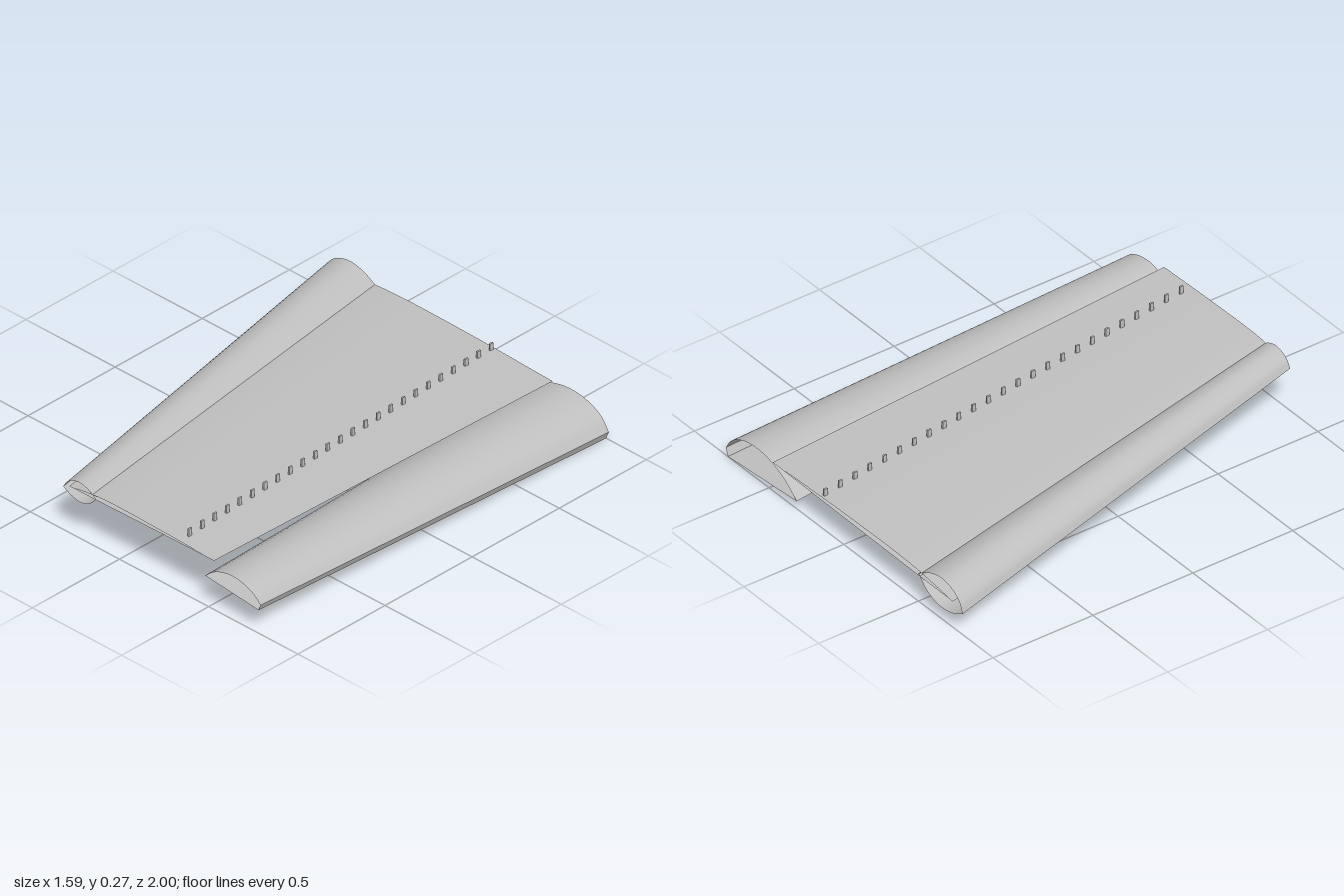
import * as THREE from 'three';

const grey = new THREE.MeshStandardMaterial({ color: 0xc0c0c0, side: THREE.DoubleSide });
grey.name = 'light grey';

// Skin stretched between a section at z = -1 and one at z = 1, given left to right
// for an upward face (reverse the order for a downward face).
function skin(name, back, front, smooth = true) {
  const sample = pts => {
    const v = pts.map(([x, y]) => new THREE.Vector3(x, y, 0));
    return smooth ? new THREE.CatmullRomCurve3(v, false, 'centripetal').getPoints(20) : v;
  };
  const a = sample(back), b = sample(front), n = a.length, pos = [], idx = [];
  a.forEach(p => pos.push(p.x, p.y, -1));
  b.forEach(p => pos.push(p.x, p.y, 1));
  for (let i = 0; i < n - 1; i++) {
    idx.push(i, n + i, n + i + 1, i, n + i + 1, i + 1);
  }
  const g = new THREE.BufferGeometry();
  g.setAttribute('position', new THREE.Float32BufferAttribute(pos, 3));
  g.setIndex(idx);
  g.computeVertexNormals();
  const mesh = new THREE.Mesh(g, grey);
  mesh.name = name;
  return mesh;
}

export function createModel() {
  const model = new THREE.Group();
  model.name = 'wingSection';

  // Swept nose slat: open lens that tapers towards the front
  const slat = new THREE.Group();
  slat.name = 'noseSlat';
  slat.add(
    skin('slatUpper',
      [[-0.795, 0.10], [-0.775, 0.145], [-0.73, 0.18], [-0.66, 0.197], [-0.58, 0.18], [-0.5, 0.135]],
      [[-0.315, 0.205], [-0.295, 0.235], [-0.265, 0.255], [-0.22, 0.265], [-0.175, 0.253], [-0.13, 0.225]]),
    skin('slatLower',
      [[-0.5, 0.135], [-0.56, 0.08], [-0.65, 0.055], [-0.73, 0.068], [-0.795, 0.10]],
      [[-0.13, 0.225], [-0.17, 0.187], [-0.22, 0.173], [-0.27, 0.183], [-0.315, 0.205]])
  );
  model.add(slat);

  // Thin main panel running from inside the slat to above the flap
  const panel = new THREE.Group();
  panel.name = 'mainPanel';
  panel.add(
    skin('panelTop',
      [[-0.73, 0.125], [-0.45, 0.152], [0, 0.152], [0.475, 0.137]],
      [[-0.28, 0.222], [-0.1, 0.244], [0.2, 0.243], [0.53, 0.233]]),
    skin('panelBottom',
      [[0.475, 0.137], [0, 0.131], [-0.45, 0.126], [-0.73, 0.125]],
      [[0.53, 0.233], [0.2, 0.229], [-0.1, 0.224], [-0.28, 0.222]])
  );
  model.add(panel);

  // Trailing flap: arched open shell with a flat underside and a narrow chamfer
  const flap = new THREE.Group();
  flap.name = 'flap';
  flap.add(
    skin('flapUpper',
      [[0.315, 0.036], [0.40, 0.098], [0.48, 0.132], [0.57, 0.147], [0.67, 0.134], [0.75, 0.092], [0.79, 0.036]],
      [[0.48, 0.14], [0.53, 0.178], [0.58, 0.198], [0.635, 0.206], [0.70, 0.196], [0.755, 0.171], [0.79, 0.138]]),
    skin('flapEdge', [[0.79, 0.036], [0.775, 0]], [[0.79, 0.138], [0.78, 0.11]], false),
    skin('flapUnderside', [[0.775, 0], [0.315, 0.036]], [[0.78, 0.11], [0.48, 0.14]], false)
  );
  model.add(flap);

  // Row of small upright vanes across the panel
  const vanes = new THREE.Group();
  vanes.name = 'vanes';
  const vaneShape = new THREE.BoxGeometry(0.008, 0.036, 0.018);
  const count = 25;
  for (let i = 0; i < count; i++) {
    const t = i / (count - 1);
    const vane = new THREE.Mesh(vaneShape, grey);
    vane.name = 'vane';
    vane.position.set(0.15 + 0.185 * t, 0.163 + 0.092 * t, -0.98 + 1.92 * t);
    vanes.add(vane);
  }
  model.add(vanes);

  return model;
}
